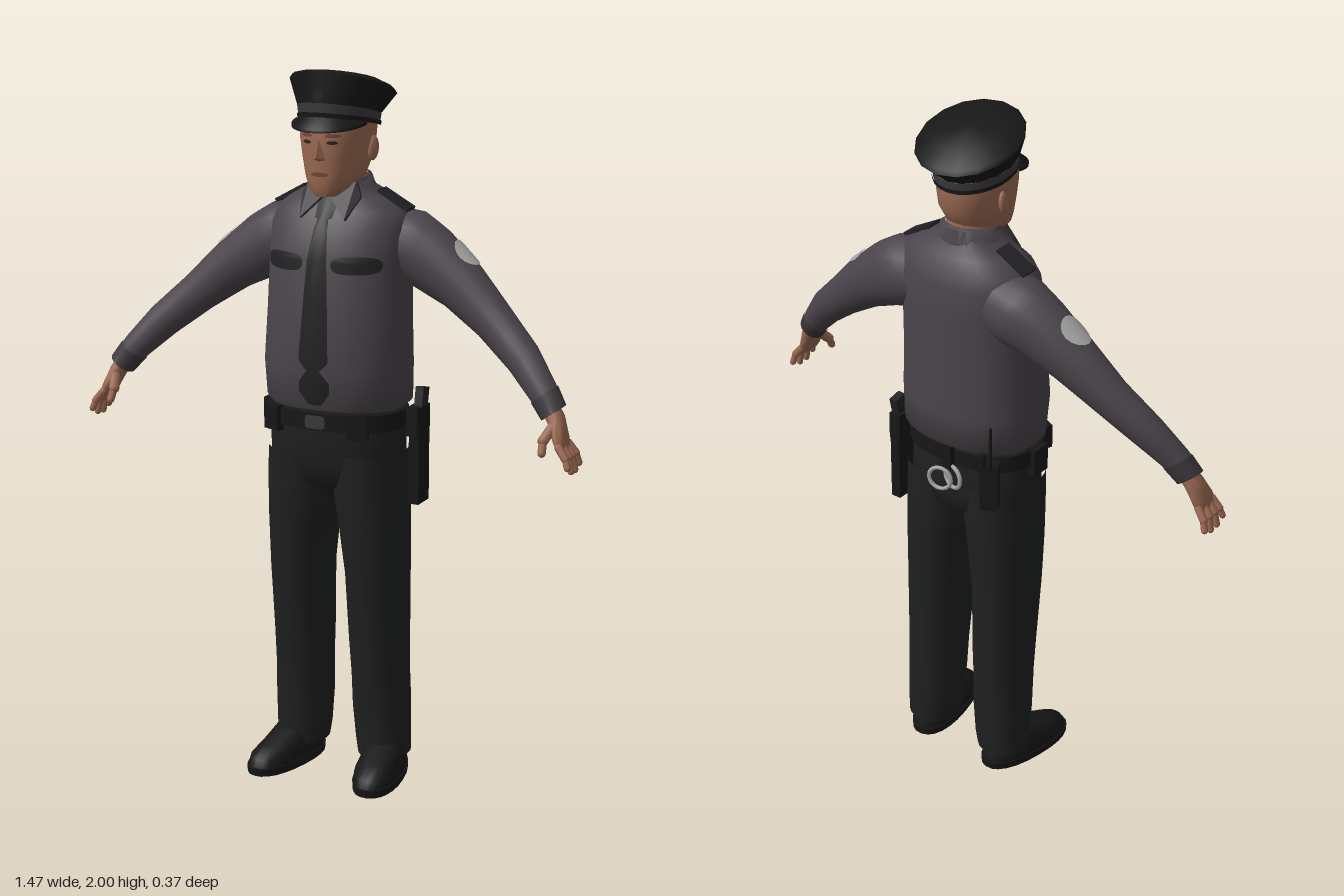
import * as THREE from 'three';
import { toCreasedNormals } from 'three/addons/utils/BufferGeometryUtils.js';
import { ConvexGeometry } from 'three/addons/geometries/ConvexGeometry.js';

const mat = (name, color) => Object.assign(new THREE.MeshStandardMaterial({ color }), { name });
const V = (x, y, z) => new THREE.Vector3(x, y, z);

export function createModel() {
  const shirt = mat('shirt grey', 0x4b454b), trim = mat('dark trim', 0x222224), cloth = mat('trouser black', 0x1f2020);
  const leather = mat('leather black', 0x171717), skin = mat('skin', 0x9c6a53), silver = mat('silver', 0xa6a6a6);
  const bandGrey = mat('band grey', 0x3c383d), lip = mat('lip', 0x754538), dark = mat('eye dark', 0x33231d);
  const model = new THREE.Group();
  model.name = 'officer';

  const add = (parent, name, geo, material, pos = [0, 0, 0], rot = [0, 0, 0]) => {
    const m = new THREE.Mesh(geo, material);
    m.name = name;
    m.position.set(...pos);
    m.rotation.set(...rot);
    parent.add(m);
    return m;
  };
  // Surface from fn(u, v); it faces du x dv
  const grid = (fn, nu, nv) => {
    const pos = [], idx = [];
    for (let j = 0; j <= nv; j++) for (let i = 0; i <= nu; i++) pos.push(...fn(i / nu, j / nv, j));
    for (let j = 0; j < nv; j++) for (let i = 0; i < nu; i++) {
      const a = j * (nu + 1) + i, d = a + nu + 1;
      idx.push(a, a + 1, d + 1, a, d + 1, d);
    }
    const g = new THREE.BufferGeometry();
    g.setAttribute('position', new THREE.Float32BufferAttribute(pos, 3));
    g.setIndex(idx);
    return toCreasedNormals(g, 0.95);
  };
  const power = (v, n) => Math.sign(v) * Math.abs(v) ** (2 / n);
  // Stacked rings, bottom up: [y, z centre, x radius, z radius, x centre, tilt]
  const loft = (rows, n = 2, seg = 24) => grid((u, v, j) => {
    const [y, zc, rx, rz, xc = 0, tilt = 0] = rows[j], a = u * Math.PI * 2;
    const z = rz * power(Math.cos(a), n);
    return [xc + rx * power(Math.sin(a), n), y + tilt * z, zc + z];
  }, seg, rows.length - 1);
  const mix = (rows, t) => {
    const i = Math.min(Math.max(Math.floor(t), 0), rows.length - 2);
    return rows[i].map((v, k) => v + (rows[i + 1][k] - v) * (t - i));
  };
  // Depth of the front of a loft at x, y
  const frontZ = (rows, n, x, y) => {
    let i = 0;
    while (i < rows.length - 2 && rows[i + 1][0] < y) i++;
    const r = mix(rows, i + (y - rows[i][0]) / (rows[i + 1][0] - rows[i][0]));
    return r[1] + r[3] * Math.max(0, 1 - Math.abs(x / r[2]) ** n) ** (1 / n);
  };
  // Rounded plate lying on the front of a loft
  const plate = (rows, n, cx, cy, w, h, p = 3, lift = 0.004) => grid((u, v) => {
    const a = v * Math.PI * 2;
    const x = cx + w * u * power(Math.cos(a), p), y = cy + h * u * power(Math.sin(a), p);
    return [x, y, frontZ(rows, n, x, y) + lift];
  }, 4, 20);
  // Limb through sections [x, y, z, thickness, z radius], heading to +x
  const limbPoint = (rows, t, a, grow = 0) => {
    const [x, y, z, rv, rz] = mix(rows, t);
    const p = mix(rows, Math.max(0, t - 0.5)), q = mix(rows, Math.min(rows.length - 1, t + 0.5));
    const len = Math.hypot(q[0] - p[0], q[1] - p[1]) || 1;
    const k = -Math.sin(a) * (rv + grow);
    return [x - (q[1] - p[1]) / len * k, y + (q[0] - p[0]) / len * k, z + Math.cos(a) * (rz + grow)];
  };
  const limb = rows => grid((u, v) => limbPoint(rows, v * (rows.length - 1), u * Math.PI * 2), 18, (rows.length - 1) * 2);
  const rod = (parent, name, a, b, r, material) => {
    const m = add(parent, name, new THREE.CapsuleGeometry(r, a.distanceTo(b), 3, 8), material);
    m.position.copy(a).lerp(b, 0.5);
    m.quaternion.setFromUnitVectors(V(0, 1, 0), b.clone().sub(a).normalize());
  };
  const pair = (name, build) => [1, -1].forEach(s => {
    const g = new THREE.Group();
    g.name = (s > 0 ? 'left ' : 'right ') + name;
    g.scale.x = s;
    model.add(g);
    build(g);
  });

  // Shirt body
  const torso = [[1.075, 0, 0.18, 0.13], [1.1, -0.01, 0.206, 0.153], [1.2, -0.004, 0.208, 0.164], [1.35, -0.01, 0.202, 0.156],
    [1.5, -0.018, 0.199, 0.15], [1.58, -0.029, 0.2, 0.136], [1.625, -0.035, 0.188, 0.115], [1.655, -0.038, 0.145, 0.094],
    [1.685, -0.033, 0.088, 0.078], [1.71, -0.03, 0.074, 0.072]];
  add(model, 'shirt body', loft(torso, 2.3, 32), shirt);
  add(model, 'collar band', loft([[1.665, -0.03, 0.098, 0.088], [1.705, -0.028, 0.08, 0.079, 0, -0.2], [1.712, -0.028, 0.066, 0.068, 0, -0.2]]), shirt);
  const tieWidths = [[1.105, 0.02], [1.14, 0.046], [1.25, 0.043], [1.4, 0.035], [1.5, 0.029], [1.58, 0.02], [1.605, 0.016], [1.61, 0.025], [1.65, 0.03], [1.66, 0.022]];
  add(model, 'tie', grid((u, v, j) => {
    const [y, w] = tieWidths[j], x = (u * 2 - 1) * w;
    return [x, y, frontZ(torso, 2.3, x, y) + 0.009 - 0.006 * Math.abs(u * 2 - 1)];
  }, 4, tieWidths.length - 1), trim);
  pair('shirt details', g => {
    add(g, 'pocket flap', plate(torso, 2.3, 0.106, 1.49, 0.064, 0.024), trim);
    const flap = [V(0.012, 1.665, 0.075), V(0.07, 1.705, 0.035), V(0.088, 1.665, 0.045), V(0.066, 1.608, 0.104)];
    add(g, 'collar point', new ConvexGeometry([...flap, ...flap.map(p => p.clone().add(V(0, -0.004, -0.012)))]), bandGrey);
    add(g, 'epaulette', new THREE.BoxGeometry(0.1, 0.01, 0.05), trim, [0.155, 1.652, -0.037], [0, 0, -0.5]);
  });

  // Sleeves, shoulder patches and hands
  const sleeve = [[0.13, 1.54, -0.06, 0.09, 0.085], [0.19, 1.525, -0.063, 0.1, 0.092], [0.25, 1.495, -0.058, 0.092, 0.082],
    [0.35, 1.43, -0.045, 0.074, 0.066], [0.45, 1.348, -0.024, 0.058, 0.054], [0.55, 1.262, 0.01, 0.05, 0.047],
    [0.62, 1.187, 0.044, 0.041, 0.039], [0.656, 1.14, 0.06, 0.036, 0.036]];
  const palm = [[0.64, 1.16, 0.055, 0.024, 0.026], [0.668, 1.12, 0.066, 0.023, 0.033], [0.687, 1.075, 0.08, 0.018, 0.042],
    [0.698, 1.045, 0.083, 0.012, 0.04], [0.7, 1.04, 0.083, 0, 0]];
  pair('arm', g => {
    add(g, 'sleeve', limb(sleeve), shirt);
    add(g, 'cuff', limb([[0.625, 1.181, 0.046, 0.043, 0.041], [0.658, 1.137, 0.06, 0.039, 0.038], [0.657, 1.138, 0.06, 0.02, 0.02]]), bandGrey);
    add(g, 'shoulder patch', grid((u, v) => {
      const a = v * Math.PI * 2;
      return limbPoint(sleeve, 2.65 + 0.36 * u * Math.sin(a), -Math.PI / 2 + 0.55 * u * Math.cos(a), 0.004);
    }, 4, 16), silver);
    add(g, 'palm', limb(palm), skin);
    [[0.05, 0.04, 1.0], [0.072, 0.07, 0.988], [0.094, 0.099, 0.99], [0.115, 0.126, 1.005]].forEach(([z0, z1, y]) => {
      const knuckle = V(0.694, 1.06, z0), mid = V(0.716, 1.032, (z0 + z1) / 2);
      rod(g, 'finger base', knuckle, mid, 0.0115, skin);
      rod(g, 'finger tip', mid, V(0.724, y + 0.005, z1), 0.0095, skin);
    });
    rod(g, 'thumb base', V(0.668, 1.11, 0.085), V(0.653, 1.075, 0.122), 0.015, skin);
    rod(g, 'thumb tip', V(0.653, 1.075, 0.122), V(0.656, 1.045, 0.138), 0.011, skin);
  });

  // Trousers and shoes
  const hips = [[0.82, -0.01, 0.05, 0.06], [0.87, -0.008, 0.17, 0.118], [0.93, -0.004, 0.195, 0.13], [1.0, 0, 0.193, 0.134], [1.09, 0, 0.188, 0.136]];
  add(model, 'trouser hips', loft(hips, 2.3, 32), cloth);
  pair('leg', g => {
    add(g, 'trouser leg', loft([[0.055, -0.04, 0, 0, 0.13], [0.055, -0.037, 0.072, 0.08, 0.13], [0.1, -0.038, 0.075, 0.083, 0.126],
      [0.2, -0.035, 0.079, 0.088, 0.122], [0.3, -0.03, 0.077, 0.094, 0.12], [0.4, -0.025, 0.079, 0.101, 0.118],
      [0.6, -0.014, 0.083, 0.112, 0.117], [0.75, -0.009, 0.092, 0.121, 0.109], [0.86, -0.006, 0.1, 0.126, 0.1], [0.96, -0.003, 0.095, 0.128, 0.1]], 2.3), cloth);
    add(g, 'shoe sole', loft([[0, 0, 0, 0], [0, 0, 0.067, 0.155], [0.022, 0, 0.068, 0.157], [0.022, 0, 0, 0]], 2.3), leather, [0.15, 0, 0.034], [0, 0.18, 0]);
    add(g, 'shoe upper', loft([[0.02, 0, 0.065, 0.152], [0.045, -0.003, 0.064, 0.145], [0.068, -0.025, 0.056, 0.11], [0.1, -0.06, 0.05, 0.07],
      [0.12, -0.07, 0, 0]], 2.3), leather, [0.15, 0, 0.034], [0, 0.18, 0]);
  });

  // Belt and equipment
  const belt = [[1.03, 0, 0.19, 0.134], [1.032, 0, 0.2, 0.145], [1.08, 0, 0.199, 0.145], [1.083, 0, 0.185, 0.13]];
  add(model, 'belt', loft(belt, 2.3, 32), leather);
  add(model, 'belt buckle', plate(belt, 2.3, 0, 1.056, 0.03, 0.019, 5), bandGrey);
  [[0.12, 0.124, 0.3], [-0.14, 0.114, -0.4]].forEach(([x, z, r]) =>
    add(model, 'belt pouch', new THREE.BoxGeometry(0.055, 0.07, 0.03), leather, [x, 1.05, z], [0, r, 0]));
  add(model, 'side pouch', new THREE.BoxGeometry(0.025, 0.08, 0.06), leather, [-0.2, 1.04, 0.01]);
  add(model, 'holster', new THREE.BoxGeometry(0.03, 0.23, 0.072), leather, [0.218, 0.92, -0.062]);
  add(model, 'holster top', new THREE.BoxGeometry(0.036, 0.08, 0.085), leather, [0.214, 1.04, -0.06]);
  add(model, 'pistol grip', new THREE.BoxGeometry(0.024, 0.08, 0.04), trim, [0.218, 1.09, -0.075], [-0.2, 0, 0]);
  add(model, 'radio', new THREE.BoxGeometry(0.05, 0.14, 0.04), leather, [-0.155, 1.015, -0.145], [0, 0.5, 0]);
  add(model, 'radio knob', new THREE.CylinderGeometry(0.011, 0.011, 0.035, 8), leather, [-0.145, 1.1, -0.165]);
  add(model, 'radio antenna', new THREE.CylinderGeometry(0.004, 0.005, 0.13, 6), leather, [-0.168, 1.14, -0.16]);
  [-0.035, 0.0].forEach((x, i) =>
    add(model, 'handcuff', new THREE.TorusGeometry(0.033, 0.006, 6, 20), silver, [x, 1.0 - i * 0.012, -0.155 - i * 0.012], [0, i ? 0.25 : -0.25, 0]));
  add(model, 'handcuff strap', new THREE.BoxGeometry(0.03, 0.075, 0.025), leather, [-0.018, 1.06, -0.15]);

  // Head
  const head = [[1.662, 0.07, 0, 0], [1.667, 0.072, 0.03, 0.03], [1.69, 0.045, 0.057, 0.066], [1.72, 0.014, 0.075, 0.099],
    [1.77, 0.001, 0.088, 0.115], [1.82, 0, 0.096, 0.118], [1.87, -0.003, 0.1, 0.117], [1.9, -0.005, 0.09, 0.105]];
  add(model, 'neck', loft([[1.63, -0.03, 0.068, 0.07], [1.7, -0.026, 0.065, 0.068], [1.76, -0.02, 0.07, 0.07]]), skin);
  add(model, 'head', loft(head, 2.2, 28), skin);
  add(model, 'nose', new ConvexGeometry([V(0, 1.825, 0.116), V(0, 1.775, 0.14), V(0, 1.763, 0.116), V(0.018, 1.768, 0.114),
    V(-0.018, 1.768, 0.114), V(0.009, 1.825, 0.1), V(-0.009, 1.825, 0.1)]), skin);
  add(model, 'mouth', plate(head, 2.2, 0, 1.728, 0.026, 0.006, 2), lip);
  pair('face', g => {
    add(g, 'eye', plate(head, 2.2, 0.037, 1.814, 0.014, 0.005, 2), dark);
    add(g, 'eyebrow', plate(head, 2.2, 0.038, 1.832, 0.021, 0.005, 2), lip);
    add(g, 'ear', new THREE.SphereGeometry(1, 12, 8), skin, [0.096, 1.79, -0.015], [-0.15, -0.3, 0]).scale.set(0.011, 0.034, 0.02);
  });

  // Peaked cap
  const bandLow = [1.858, -0.005, 0.107, 0.118, 0, 0.2], bandHigh = [1.89, -0.005, 0.112, 0.12, 0, 0.23];
  add(model, 'cap band', loft([bandLow, bandHigh]), bandGrey);
  add(model, 'cap crown', loft([bandHigh, [1.95, -0.03, 0.146, 0.141, 0, 0.36], [1.958, -0.03, 0.139, 0.135, 0, 0.34],
    [1.976, -0.028, 0.095, 0.095, 0, 0.26], [1.988, -0.028, 0, 0]], 2, 16), leather);
  add(model, 'cap strap', loft([[1.856, -0.005, 0.11, 0.121, 0, 0.2], [1.868, -0.005, 0.112, 0.122, 0, 0.2]]), leather);
  add(model, 'cap visor', grid((u, v) => {
    const a = (v * 2 - 1) * 1.25, reach = Math.cos(a / 1.25 * Math.PI / 2);
    const out = [0, 1, 1, 0, 0][Math.round(u * 4)], low = [0, 0, 1, 1, 0][Math.round(u * 4)] * 0.008;
    const r = 0.104 + out * (0.006 + 0.036 * reach);
    return [r * Math.sin(a), 1.86 + 0.024 * Math.cos(a) - out * 0.034 * reach - low, 0.005 + r * Math.cos(a)];
  }, 4, 20), leather);
  add(model, 'cap badge', new THREE.CylinderGeometry(0.016, 0.016, 0.008, 10), trim, [0, 1.94, 0.117], [Math.PI / 2, 0, 0]);
  return model;
}
